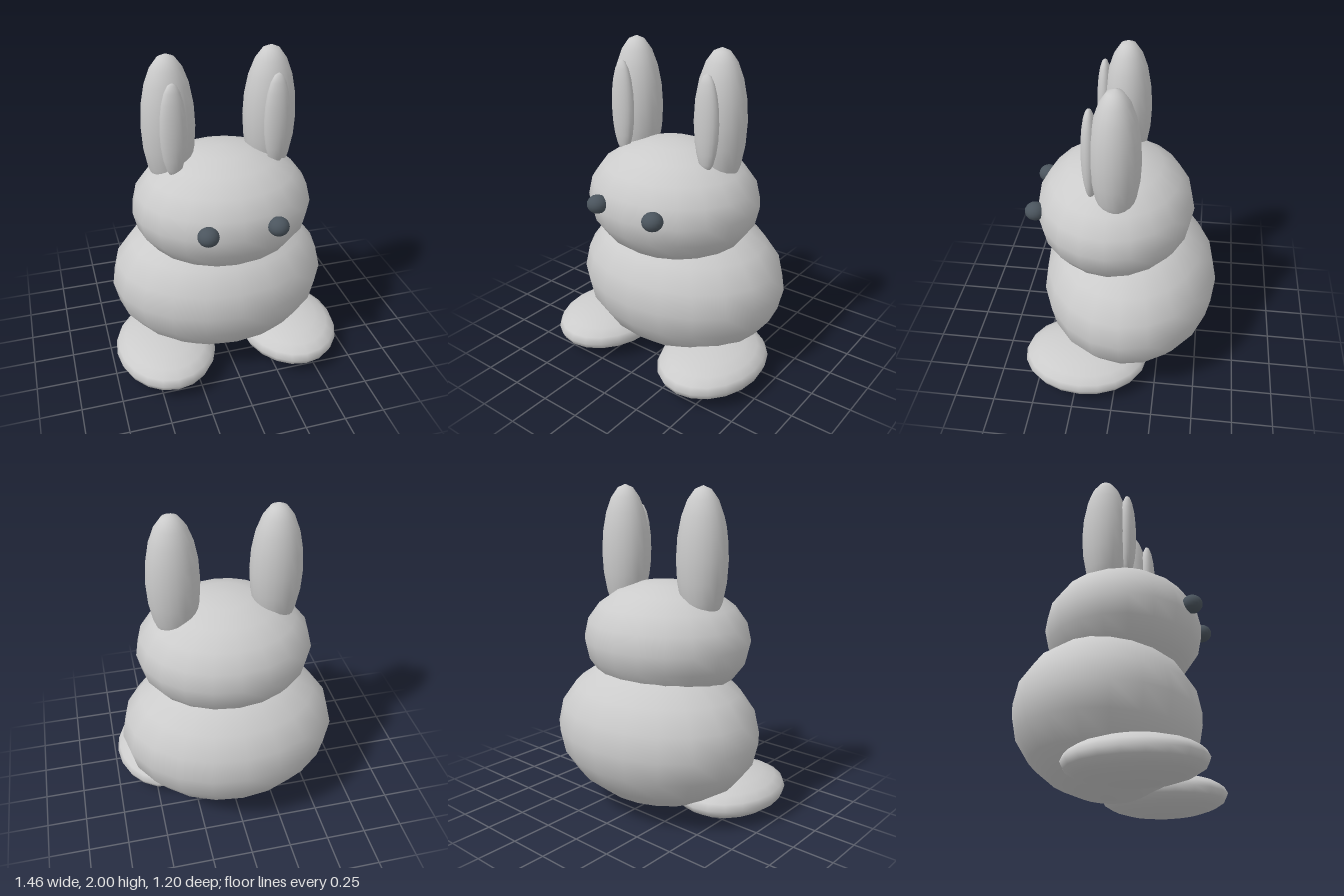
import * as THREE from 'three';

const fur = new THREE.MeshStandardMaterial({ color: 0xcccccc });
const dark = new THREE.MeshStandardMaterial({ color: 0x4b555e });
const sphere = new THREE.SphereGeometry(1, 20, 10);

// Smooth ellipsoid from its centre and its three radii
function ellipsoid(name, centre, radii, material = fur) {
  const mesh = new THREE.Mesh(sphere.clone().scale(...radii), material);
  mesh.name = name;
  mesh.position.set(...centre);
  return mesh;
}

export function createModel() {
  const model = new THREE.Group();
  model.name = 'rabbit';

  // Body and head
  model.add(ellipsoid('body', [0, 0.5, -0.04], [0.69, 0.47, 0.56]));
  model.add(ellipsoid('head', [0, 1.06, 0.055], [0.55, 0.37, 0.485]));

  // Paired parts, mirrored across x
  for (const [side, s] of [['left', 1], ['right', -1]]) {
    model.add(
      ellipsoid(side + 'Ear', [s * 0.305, 1.58, 0.015], [0.158, 0.42, 0.145]),
      ellipsoid(side + 'InnerEar', [s * 0.305, 1.595, 0.155], [0.078, 0.285, 0.05]),
      ellipsoid(side + 'Eye', [s * 0.205, 1.11, 0.518], [0.062, 0.055, 0.062], dark),
      ellipsoid(side + 'Foot', [s * 0.415, 0.125, 0.205], [0.315, 0.125, 0.395])
    );
  }
  return model;
}
